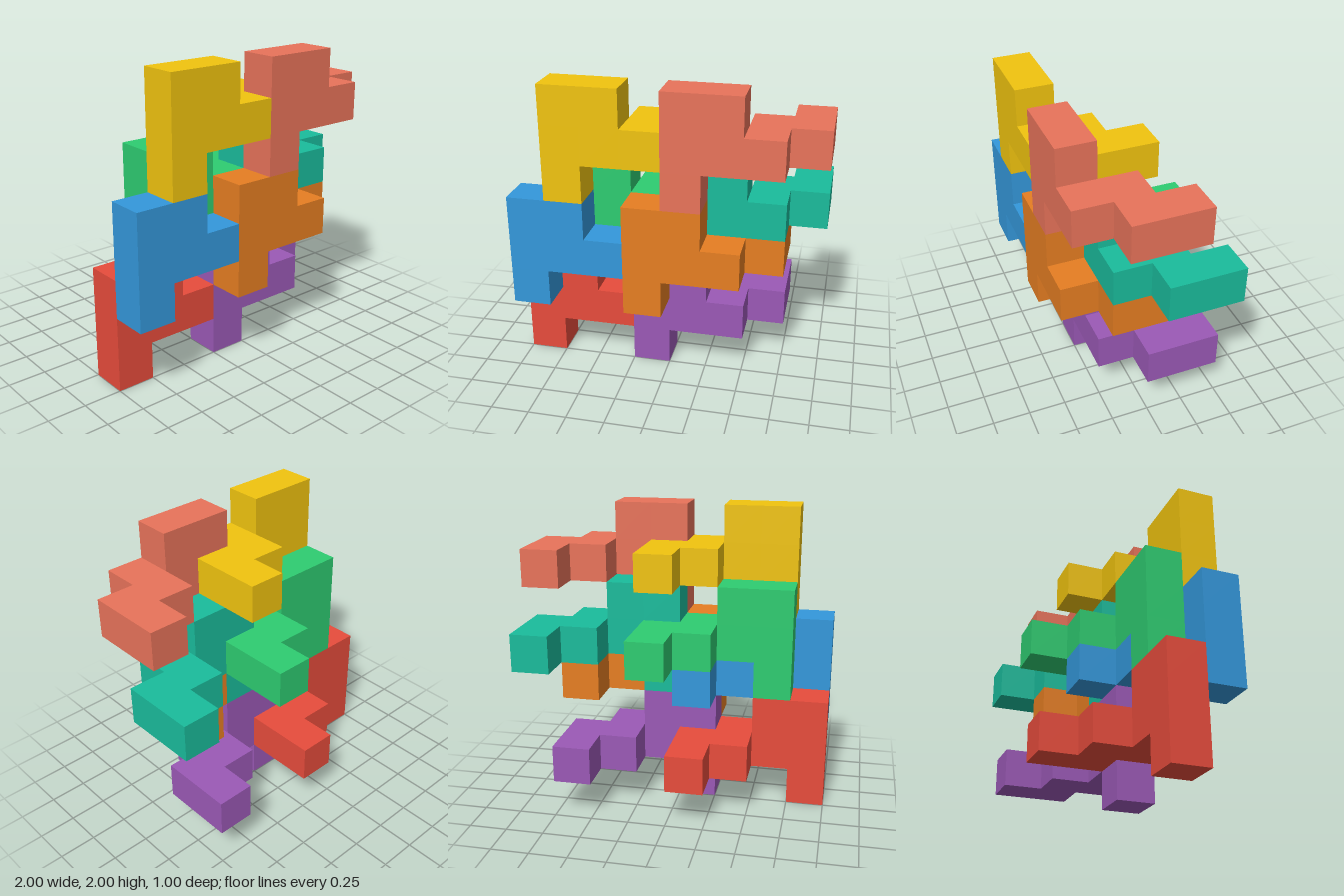
import * as THREE from 'three';
import { mergeGeometries } from 'three/addons/utils/BufferGeometryUtils.js';

const U = 0.25; // edge of one cube cell

// Cells of the one shape all pieces share: an upright F-like front, then a tail stepping backwards
const CELLS = [
  [0, -1, 0], [0, 0, 0], [0, 1, 0], [1, 1, 0], [1, 0, 0], [2, 0, 0],
  [2, 0, -1], [3, 0, -1], [3, 0, -2],
];

// Skin of the piece: a square on every cell side that has no neighbour
function pieceGeometry() {
  const filled = new Set(CELLS.map(String));
  const zAxis = new THREE.Vector3(0, 0, 1);
  const directions = [[1, 0, 0], [-1, 0, 0], [0, 1, 0], [0, -1, 0], [0, 0, 1], [0, 0, -1]];
  const faces = [];
  for (const cell of CELLS) {
    for (const d of directions) {
      if (filled.has(String(cell.map((v, i) => v + d[i])))) continue;
      const turn = new THREE.Quaternion().setFromUnitVectors(zAxis, new THREE.Vector3(...d));
      const centre = cell.map((v, i) => (v + d[i] / 2) * U);
      faces.push(new THREE.PlaneGeometry(U, U).applyQuaternion(turn).translate(...centre));
    }
  }
  return mergeGeometries(faces);
}

// Name, colour and grid position (column, row, layer from the back) of each piece
const PIECES = [
  ['redPiece', 0xe74c3c, 0, 1, 2],
  ['purplePiece', 0x9b59b6, 3, 1, 2],
  ['bluePiece', 0x3498db, 0, 3, 3],
  ['orangePiece', 0xe67e22, 3, 3, 3],
  ['greenPiece', 0x2ecc71, 1, 4, 2],
  ['tealPiece', 0x1abc9c, 4, 4, 2],
  ['yellowPiece', 0xf1c40f, 1, 6, 3],
  ['salmonPiece', 0xe8735a, 4, 6, 3],
];

export function createModel() {
  const group = new THREE.Group();
  group.name = 'interlockingBlocks';
  const geometry = pieceGeometry();
  for (const [name, color, col, row, layer] of PIECES) {
    const piece = new THREE.Mesh(geometry, new THREE.MeshStandardMaterial({ color }));
    piece.name = name;
    piece.position.set((col - 3.5) * U, (row + 0.5) * U, (layer - 1.5) * U);
    group.add(piece);
  }
  return group;
}
